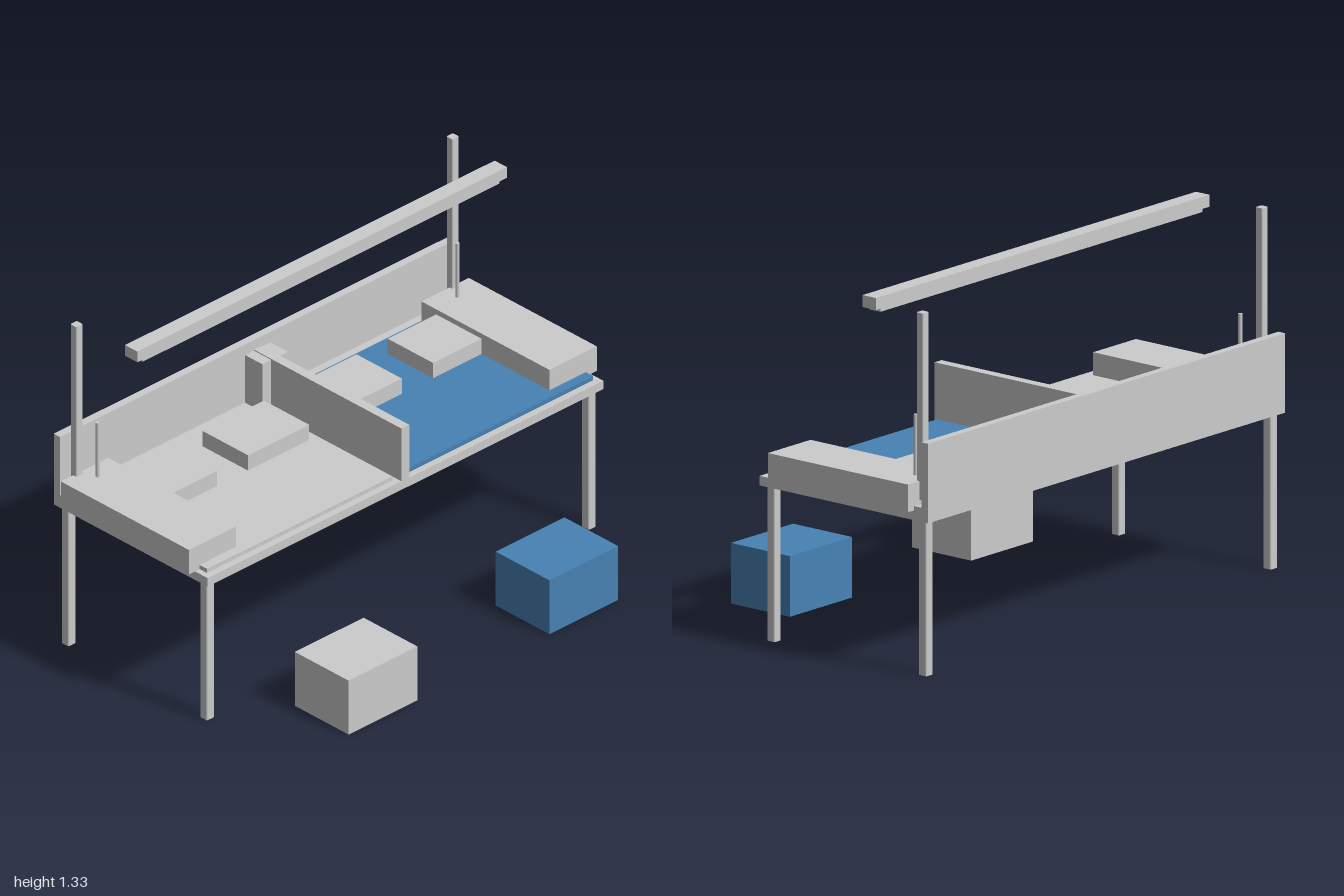
import * as THREE from 'three';

const grey = new THREE.MeshStandardMaterial({ color: 0xcccccc });
const blue = new THREE.MeshStandardMaterial({ color: 0x4682b4 });

export function createModel() {
  const model = new THREE.Group();

  const add = (name, geometry, material = grey) => {
    const mesh = new THREE.Mesh(geometry, material);
    mesh.name = name;
    model.add(mesh);
    return mesh;
  };

  // Box given by its lower and upper limits on each axis
  const box = (name, [x0, x1], [y0, y1], [z0, z1], material) =>
    add(name, new THREE.BoxGeometry(x1 - x0, y1 - y0, z1 - z0), material)
      .position.set((x0 + x1) / 2, (y0 + y1) / 2, (z0 + z1) / 2);

  // Upright square tube with rounded corners
  const upright = (name, x, z, size, radius, y0, y1) => {
    const h = size / 2, c = h - radius;
    const s = new THREE.Shape();
    s.absarc(c, c, radius, 0, Math.PI / 2);
    s.absarc(-c, c, radius, Math.PI / 2, Math.PI);
    s.absarc(-c, -c, radius, Math.PI, Math.PI * 1.5);
    s.absarc(c, -c, radius, Math.PI * 1.5, Math.PI * 2);
    s.closePath();
    const g = new THREE.ExtrudeGeometry(s, { depth: y1 - y0, bevelEnabled: false, curveSegments: 4 });
    g.rotateX(-Math.PI / 2);
    add(name, g).position.set(x, y0, z);
  };

  // Table, back panel and rear rail
  box('tabletop', [-0.97, 0.97], [0.567, 0.602], [-0.587, 0.194]);
  box('backPanel', [-0.97, 0.97], [0.602, 0.858], [-0.587, -0.556]);
  box('rearRail', [-0.97, 0.97], [0.602, 0.619], [-0.556, -0.522]);

  // Centre divider with its bracket
  box('divider', [-0.019, 0.019], [0.602, 0.819], [-0.556, 0.194]);
  box('dividerBracket', [-0.0625, 0.0625], [0.602, 0.815], [-0.56, -0.468]);

  // Two matching stations, the left one with blue mat and crate
  for (const side of [-1, 1]) {
    const span = (a, b) => (side > 0 ? [a, b] : [-b, -a]);
    const accent = side > 0 ? blue : grey;
    const label = side > 0 ? 'left' : 'right';

    box(label + 'Mat', span(0.038, 0.947), [0.602, 0.619], [-0.525, 0.167], accent);
    box(label + 'SideCabinet', span(0.768, 1), [0.602, 0.703], [-0.52, 0.13]);
    box(label + 'InnerTray', span(0.077, 0.377), [0.619, 0.682], [-0.445, -0.215]);
    box(label + 'OuterTray', span(0.53, 0.83), [0.619, 0.682], [-0.445, -0.215]);
    box(label + 'Crate', span(0.324, 0.661), [0, 0.222], [0.317, 0.59], accent);

    // Legs, lamp post and thin rod
    for (const z of [0.156, -0.547]) upright(label + 'Leg', side * 0.936, z, 0.037, 0.006, 0, 0.567);
    upright(label + 'Post', side * 0.922, -0.521, 0.032, 0.006, 0.634, 1.318);
    add(label + 'Rod', new THREE.CylinderGeometry(0.0075, 0.0075, 0.222, 12))
      .position.set(side * 0.882, 0.814, -0.455);
  }

  // Overhead light bar and its diffuser
  box('lightBar', [-0.906, 0.906], [1.281, 1.325], [-0.291, -0.229]);
  box('lightDiffuser', [-0.875, 0.875], [1.267, 1.281], [-0.285, -0.235]);

  return model;
}
